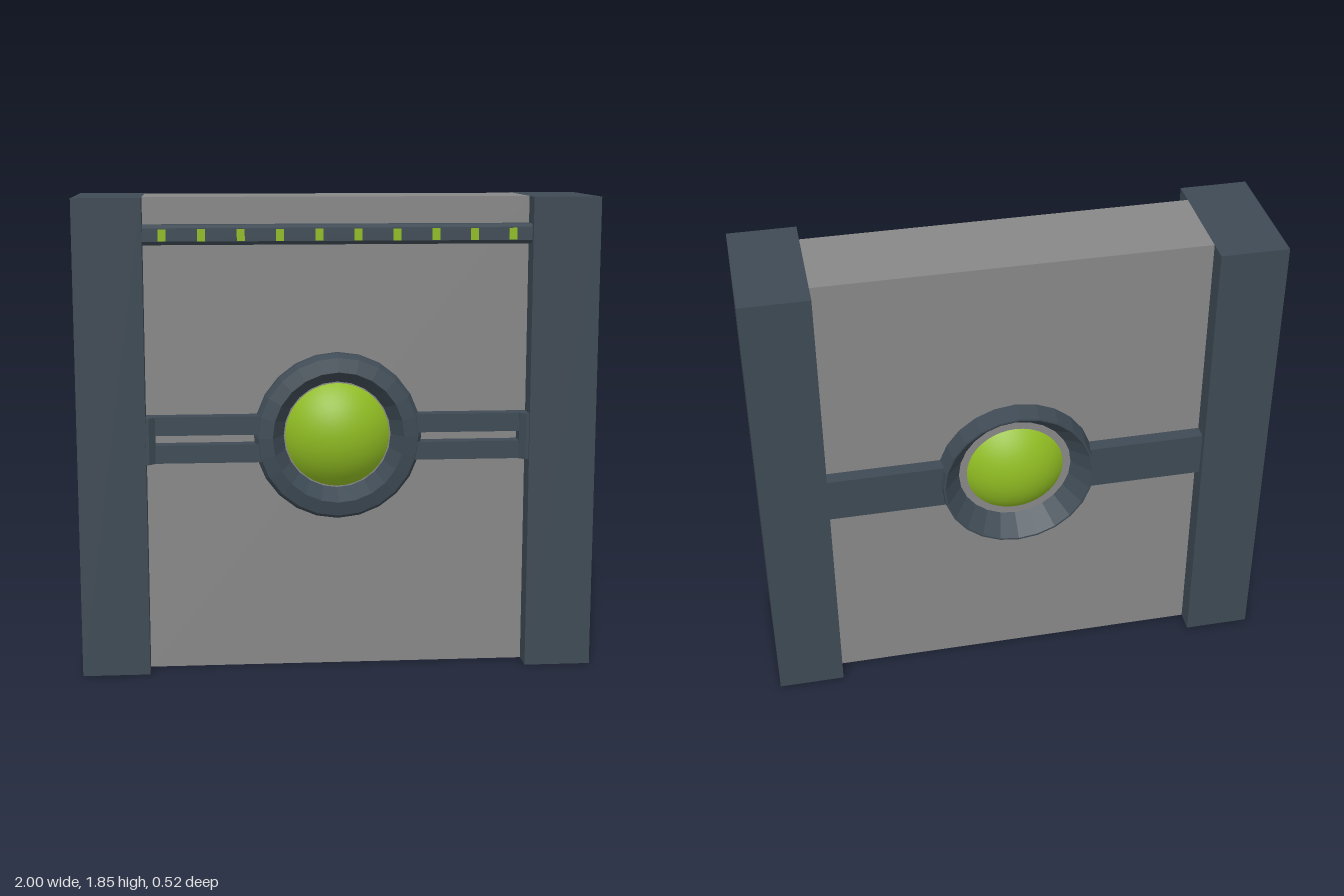
import * as THREE from 'three';

const steel = new THREE.MeshStandardMaterial({ color: 0x3e4a54, flatShading: true });
steel.name = 'dark steel';
const stone = new THREE.MeshStandardMaterial({ color: 0x878787, flatShading: true });
stone.name = 'grey panel';
const glow = new THREE.MeshStandardMaterial({ color: 0x8fbb22 });
glow.name = 'green light';

const CENTRE_Y = 0.925;

export function createModel() {
  const model = new THREE.Group();
  model.name = 'gate';

  const add = (name, geometry, material) => {
    const mesh = new THREE.Mesh(geometry, material);
    mesh.name = name;
    model.add(mesh);
    return mesh;
  };
  // Box given by its minimum and maximum on each axis
  const box = (name, material, [x0, x1], [y0, y1], [z0, z1]) =>
    add(name, new THREE.BoxGeometry(x1 - x0, y1 - y0, z1 - z0), material)
      .position.set((x0 + x1) / 2, (y0 + y1) / 2, (z0 + z1) / 2);
  const mirrored = (side, a, b) => (side > 0 ? [a, b] : [-b, -a]);

  // Main slab
  box('panel', stone, [-0.74, 0.74], [0, 1.845], [-0.178, 0.165]);

  for (const side of [1, -1]) {
    const label = side > 0 ? 'left' : 'right';
    box(label + 'Pillar', steel, mirrored(side, 0.74, 1), [0, 1.845], [-0.26, 0.26]);

    // Twin front rails and a single wide back rail
    const span = mirrored(side, 0.27, 0.74);
    box(label + 'UpperRail', steel, span, [0.94, 1.012], [0.16, 0.225]);
    box(label + 'LowerRail', steel, span, [0.832, 0.902], [0.16, 0.225]);
    box(label + 'BackRail', steel, span, [0.832, 1.012], [-0.232, -0.17]);

    // Sloped bracket where the rails meet the pillar
    const bracket = new THREE.Shape([
      [0.745, -0.16], [0.705, -0.16], [0.705, -0.228], [0.728, -0.25], [0.745, -0.25],
    ].map(([x, z]) => new THREE.Vector2(side * x, z)));
    const geometry = new THREE.ExtrudeGeometry(bracket, { depth: 0.18, bevelEnabled: false });
    geometry.rotateX(-Math.PI / 2);
    add(label + 'Bracket', geometry, steel).position.y = 0.832;
  }

  // Bevelled strip across the top, profile in (z, y)
  const strip = new THREE.Shape([
    [0.16, 1.668], [0.225, 1.668], [0.24, 1.682], [0.24, 1.732], [0.225, 1.743], [0.16, 1.743],
  ].map(([z, y]) => new THREE.Vector2(-z, y)));
  const stripGeometry = new THREE.ExtrudeGeometry(strip, { depth: 1.48, bevelEnabled: false });
  stripGeometry.rotateY(Math.PI / 2);
  add('topStrip', stripGeometry, steel).position.x = -0.74;

  // Row of ten small lamps
  for (let i = 0; i < 10; i++) {
    const x = (i - 4.5) * 0.148;
    box('stripLamp', glow, [x - 0.015, x + 0.015], [1.683, 1.728], [0.236, 0.242]);
  }

  // Bezels around the orb, turned from (radius, depth) profiles
  const bezel = (name, profile, facing) => {
    const geometry = new THREE.LatheGeometry(profile.map(p => new THREE.Vector2(...p)), 24);
    geometry.rotateX(facing * Math.PI / 2);
    add(name, geometry, steel).position.y = CENTRE_Y;
  };
  bezel('frontBezel', [[0.325, 0.155], [0.325, 0.2], [0.31, 0.228], [0.255, 0.24], [0.2, 0.15]], 1);
  bezel('backBezel', [[0.31, 0.17], [0.297, 0.26], [0.29, 0.26], [0.2, 0.15]], -1);

  // Glowing orb showing on both sides
  const orb = new THREE.SphereGeometry(0.262, 40, 28);
  orb.rotateX(Math.PI / 2);
  add('orb', orb, glow).position.y = CENTRE_Y;

  return model;
}
